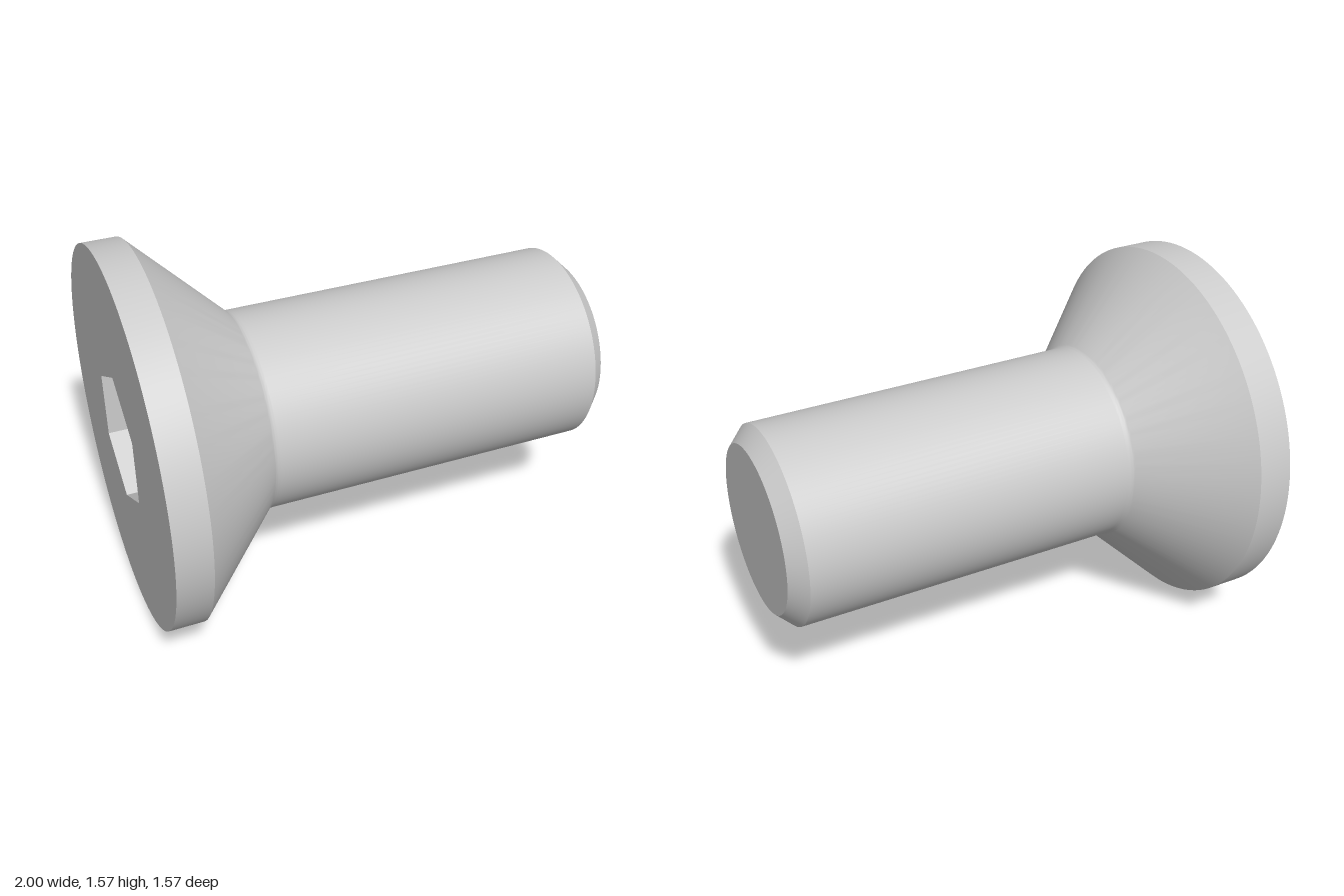
import * as THREE from 'three';
import { toCreasedNormals } from 'three/addons/utils/BufferGeometryUtils.js';

const HEAD_R = 0.786, SHANK_R = 0.416, TIP_R = 0.35;
const HEX_R = 0.289, SOCKET_FLOOR = -0.683;
const LIP_X = -0.855, NECK_X = LIP_X + HEAD_R - SHANK_R;

// Lathe turned so its axis runs along x; profile points are (radius, x)
function turned(points, segments, phiStart = 0) {
  const lathe = new THREE.LatheGeometry(points, segments, phiStart).rotateZ(-Math.PI / 2);
  return toCreasedNormals(lathe, 0.45);
}

export function createModel() {
  const group = new THREE.Group();
  const material = new THREE.MeshStandardMaterial({ color: 0xcccccc });
  const v = (r, x) => new THREE.Vector2(r, x);
  const add = (name, geometry) => {
    const mesh = new THREE.Mesh(geometry, material);
    mesh.name = name;
    mesh.position.y = HEAD_R;
    group.add(mesh);
  };

  // Head lip, countersunk cone, small neck fillet, shank and chamfered tip
  const f = 0.018;
  const fillet = new THREE.QuadraticBezierCurve(
    v(SHANK_R + f * 0.7, NECK_X - f * 0.7), v(SHANK_R, NECK_X), v(SHANK_R, NECK_X + f));
  add('body', turned([
    v(HEAD_R, -1), v(HEAD_R, LIP_X),
    ...fillet.getPoints(6),
    v(SHANK_R, 0.934), v(TIP_R, 1), v(0, 1),
  ], 128));

  // Flat head face with a hexagonal opening
  const face = new THREE.Shape().absarc(0, 0, HEAD_R, 0, Math.PI * 2);
  const hexagon = Array.from({ length: 6 }, (_, i) => {
    const a = Math.PI / 2 + i * Math.PI / 3;
    return v(HEX_R * Math.cos(a), HEX_R * Math.sin(a));
  });
  face.holes.push(new THREE.Path(hexagon));
  add('headFace', new THREE.ShapeGeometry(face, 128).rotateY(-Math.PI / 2).translate(-1, 0, 0));

  // Hex socket: floor and inward-facing walls
  add('hexSocket', turned([v(0, SOCKET_FLOOR), v(HEX_R, SOCKET_FLOOR), v(HEX_R, -1)], 6, Math.PI / 2));

  return group;
}
